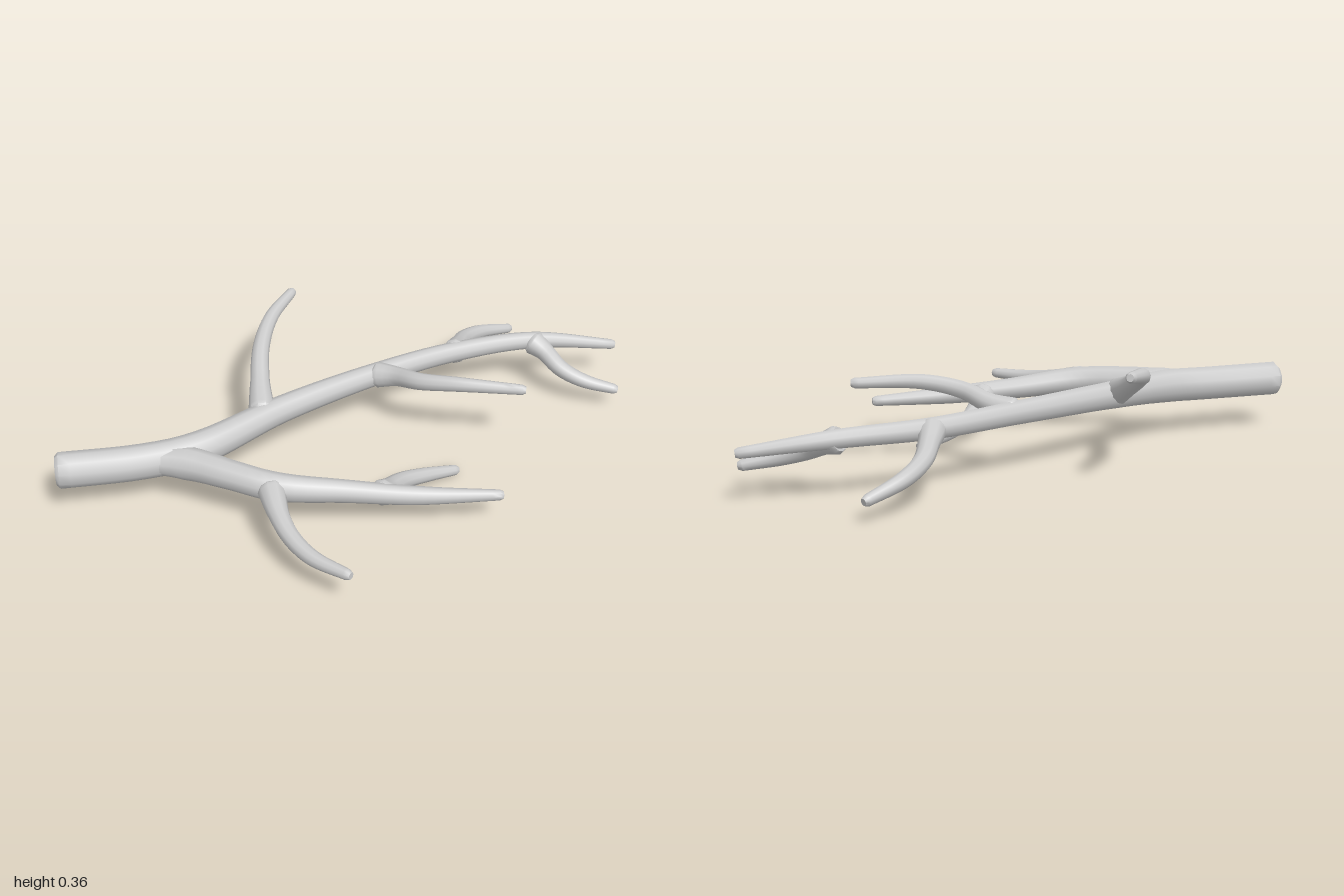
import * as THREE from 'three';
import { mergeVertices, toCreasedNormals } from 'three/addons/utils/BufferGeometryUtils.js';

const SIDES = 10;
const material = new THREE.MeshStandardMaterial({ color: 0xcccccc });

// Tapered limb through control points [x, y, z, radius], closed with bevelled ends
function limb(name, points, segments) {
  const curve = new THREE.CatmullRomCurve3(points.map(p => new THREE.Vector3(p[0], p[1], p[2])));
  const geo = new THREE.TubeGeometry(curve, segments, 1, SIDES, false);
  const pos = geo.attributes.position, nor = geo.attributes.normal;
  const radiusAt = s => {
    const f = curve.getUtoTmapping(s) * (points.length - 1);
    const k = Math.min(Math.floor(f), points.length - 2);
    return THREE.MathUtils.lerp(points[k][3], points[k + 1][3], f - k);
  };
  const bevel = 0.012 / curve.getLength();
  for (let i = 0; i <= segments; i++) {
    // The two outermost rings at each end form the cap and its bevel
    let s = (i - 2) / (segments - 4), scale = 1;
    if (i <= 1) { s = 0; scale = i * 0.8; }
    else if (i === 2) s = bevel;
    else if (i >= segments - 1) { s = 1; scale = (segments - i) * 0.7; }
    else if (i === segments - 2) s = 1 - bevel;
    const c = curve.getPointAt(s), r = radiusAt(s) * scale;
    for (let j = 0; j <= SIDES; j++) {
      const v = i * (SIDES + 1) + j;
      pos.setXYZ(v, c.x + nor.getX(v) * r, c.y + nor.getY(v) * r, c.z + nor.getZ(v) * r);
    }
  }
  geo.deleteAttribute('normal');
  geo.deleteAttribute('uv');
  const mesh = new THREE.Mesh(toCreasedNormals(mergeVertices(geo, 1e-5), 0.8), material);
  mesh.name = name;
  return mesh;
}

// Side twig: wide collar where it leaves its parent, slim rounded tip
function twig(name, path) {
  const radii = [0.046, 0.033, 0.029, 0.025, 0.017];
  return limb(name, path.map((p, i) => [...p, radii[i]]), 26);
}

export function createModel() {
  const branch = new THREE.Group();
  branch.name = 'branch';

  // Thick stem running on into the long rear bough
  branch.add(limb('stemAndRearBough', [
    [-1, 0.172, 0.047, 0.059], [-0.72, 0.172, 0.047, 0.058], [-0.55, 0.178, 0.022, 0.058],
    [-0.25, 0.192, -0.13, 0.046], [0.1, 0.195, -0.275, 0.039], [0.4, 0.19, -0.37, 0.035],
    [0.7, 0.188, -0.397, 0.03], [0.99, 0.16, -0.36, 0.017],
  ], 48));

  // Front bough of the fork
  branch.add(limb('frontBough', [
    [-0.72, 0.172, 0.04, 0.04], [-0.58, 0.174, 0.085, 0.055], [-0.45, 0.178, 0.175, 0.048],
    [-0.32, 0.172, 0.25, 0.047], [-0.1, 0.152, 0.288, 0.037], [0.12, 0.135, 0.328, 0.031],
    [0.395, 0.125, 0.362, 0.017],
  ], 36));

  // Twigs on the front bough
  branch.add(twig('frontOuterTwig', [
    [-0.335, 0.175, 0.26], [-0.325, 0.158, 0.38], [-0.3, 0.142, 0.47],
    [-0.25, 0.132, 0.56], [-0.15, 0.135, 0.665]]));
  branch.add(twig('frontInnerTwig', [
    [0.01, 0.14, 0.305], [0.045, 0.115, 0.25], [0.105, 0.082, 0.18],
    [0.195, 0.05, 0.125], [0.315, 0.021, 0.08]]));

  // Twigs on the rear bough
  branch.add(twig('rearTallTwig', [
    [-0.315, 0.2, -0.11], [-0.305, 0.245, -0.23], [-0.283, 0.295, -0.36],
    [-0.23, 0.33, -0.49], [-0.135, 0.353, -0.615]]));
  branch.add(twig('rearInnerTwig', [
    [0.1, 0.197, -0.27], [0.165, 0.218, -0.215], [0.225, 0.248, -0.13],
    [0.34, 0.27, -0.06], [0.555, 0.267, 0.008]]));
  branch.add(twig('rearOuterTwig', [
    [0.4, 0.188, -0.37], [0.435, 0.165, -0.45], [0.48, 0.135, -0.535],
    [0.56, 0.105, -0.61], [0.69, 0.068, -0.668]]));
  branch.add(twig('rearTipTwig', [
    [0.69, 0.186, -0.395], [0.728, 0.165, -0.35], [0.77, 0.132, -0.285],
    [0.84, 0.105, -0.235], [0.955, 0.08, -0.193]]));

  return branch;
}
